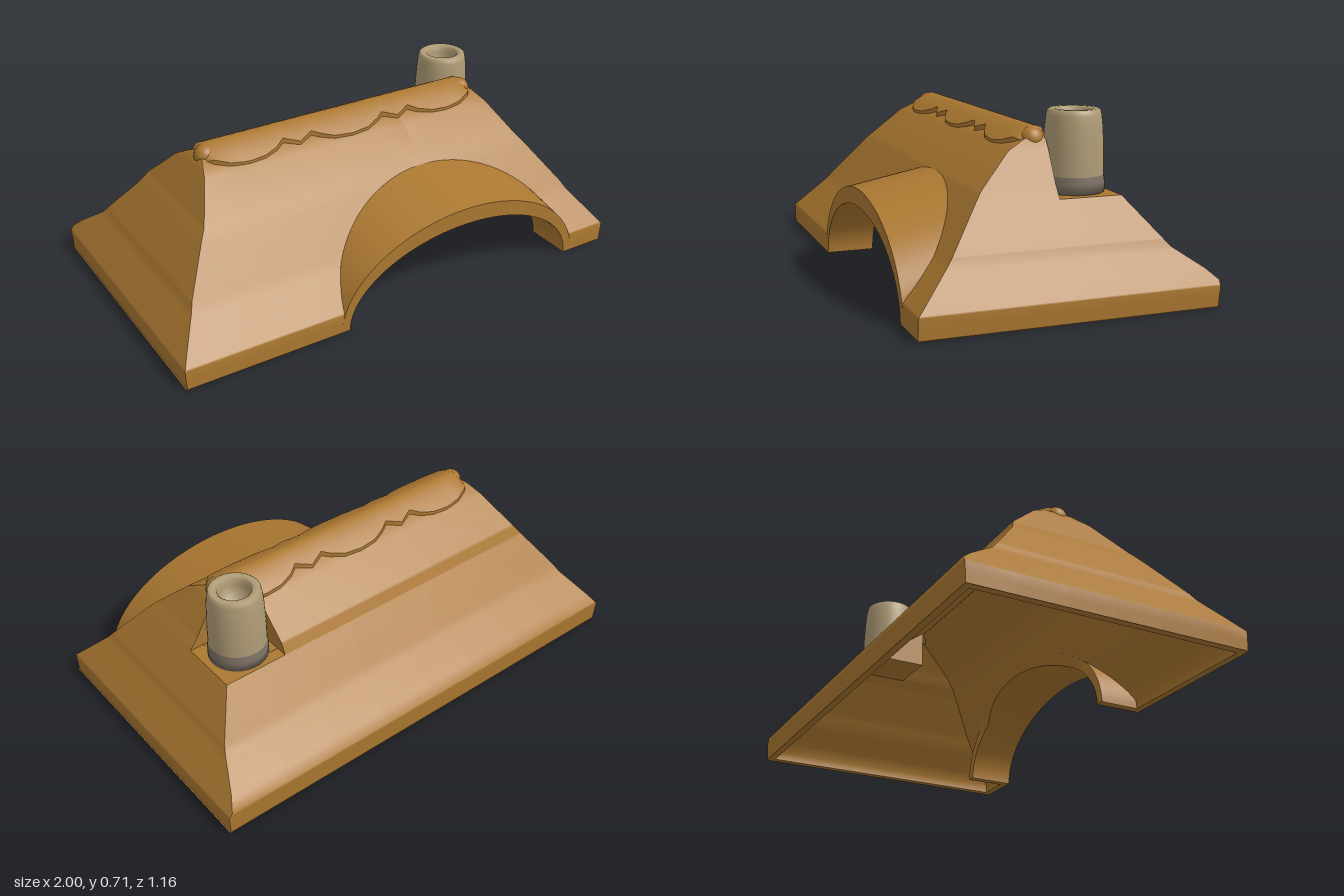
import * as THREE from 'three';

// Piecewise-linear lookup in a list of [input, output]
const lerpTable = (table, t) => {
  for (let i = 1; i < table.length; i++) {
    const [a, va] = table[i - 1], [b, vb] = table[i];
    if (t <= b) return va + (vb - va) * Math.max(0, (t - a) / (b - a));
  }
  return table[table.length - 1][1];
};

// Smooth grid surface from a rule (row, column) -> [x, y, z]
function surface(rows, cols, rule) {
  const pos = [], index = [];
  for (let r = 0; r <= rows; r++)
    for (let c = 0; c <= cols; c++) pos.push(...rule(r, c));
  for (let r = 0; r < rows; r++)
    for (let c = 0; c < cols; c++) {
      const a = r * (cols + 1) + c, b = a + cols + 1;
      index.push(a, a + 1, b, a + 1, b + 1, b);
    }
  const g = new THREE.BufferGeometry();
  g.setAttribute('position', new THREE.Float32BufferAttribute(pos, 3));
  g.setIndex(index);
  g.computeVertexNormals();
  return g;
}

// Front depth, back depth and half width of the roof at each height
const FRONT = [[0, 0.58], [0.08, 0.58], [0.22, 0.442], [0.41, 0.292], [0.44, 0.267], [0.57, 0.13],
  [0.605, 0.06], [0.625, 0]];
const BACK = [[0, 0.578], [0.1, 0.583], [0.14, 0.54], [0.22, 0.425], [0.25, 0.4], [0.4, 0.28],
  [0.45, 0.255], [0.57, 0.125], [0.605, 0.06], [0.625, 0]];
const WIDTH = [[0, 0.995], [0.08, 1], [0.13, 0.965], [0.22, 0.9], [0.25, 0.885], [0.41, 0.775],
  [0.45, 0.745], [0.57, 0.675], [0.605, 0.65], [0.625, 0.62]];
const ARCH_X = 0.245, SHELL = 0.03;
const outer = {
  top: 0.625, a: 0.58, h: 0.44,
  z: y => lerpTable(FRONT, y), back: y => lerpTable(BACK, y), x: y => lerpTable(WIDTH, y),
};
const inner = {
  top: 0.585, a: 0.58, h: 0.37,
  z: y => Math.max(0, outer.z(y + 0.04) - SHELL),
  back: y => Math.max(0, outer.back(y + 0.04) - SHELL),
  x: y => outer.x(y + 0.04) - SHELL,
};

// Square notch in the left back hip where the chimney stands
const NOTCH = { y: 0.4, x: 0.51, z: -0.03 };

// Half width of the scalloped ridge cap along its length
const SCALLOP = [[0, 0.12], [0.08, 0.113], [0.14, 0.09], [0.17, 0.072], [0.235, 0.1], [0.3, 0.072],
  [0.34, 0.097], [0.4, 0.115], [0.47, 0.12], [0.505, 0.117], [0.51, 0.116], [0.55, 0.11], [0.61, 0.085],
  [0.64, 0.055], [0.655, 0.04]];

export function createModel() {
  const model = new THREE.Group();
  const material = (name, color) => {
    const m = new THREE.MeshStandardMaterial({ color, side: THREE.DoubleSide });
    m.name = name;
    return m;
  };
  const tile = material('brown roof', 0xab7831);
  const clay = material('beige chimney', 0xb09c76);
  const stone = material('grey chimney base', 0x7d7164);
  const group = name => {
    const g = new THREE.Group();
    g.name = name;
    model.add(g);
    return g;
  };
  const add = (name, geometry, mat = tile, parent = model) => {
    const mesh = new THREE.Mesh(geometry, mat);
    mesh.name = name;
    parent.add(mesh);
    return mesh;
  };

  // Roof shell: outer skin and hollow underside, cut round the arch and the notch
  const roofShell = (name, s) => {
    const shell = group(name);
    const heights = [...FRONT, ...BACK].map(p => p[0]).filter(y => y < s.top);
    heights.push(s.top, NOTCH.y, NOTCH.y + 0.0005);
    for (let i = 1; i <= 16; i++) heights.push(s.h * Math.sin(i / 16 * Math.PI / 2));
    const ys = [...new Set(heights)].sort((a, b) => a - b);
    const rows = ys.length - 1;
    for (const side of [-1, 1]) {
      add(side < 0 ? 'rightFrontSlope' : 'leftFrontSlope', surface(rows, 6, (r, c) => {
        const y = ys[r], t = c / 6;
        const edge = ARCH_X + side * s.a * Math.sqrt(Math.max(0, 1 - (y / s.h) ** 2));
        const hip = side * s.x(y);
        return [side < 0 ? hip + (edge - hip) * t : edge + (hip - edge) * t, y, s.z(y)];
      }), tile, shell);
      add(side < 0 ? 'rightHip' : 'leftHip', surface(rows, 6, (r, c) => {
        const y = ys[r], z = s.z(y);
        const end = side > 0 && y > NOTCH.y ? Math.max(NOTCH.z, -s.back(y)) : -s.back(y);
        const t = side > 0 ? c / 6 : 1 - c / 6;
        return [side * s.x(y), y, z + (end - z) * t];
      }), tile, shell);
    }
    add('backSlope', surface(rows, 8, (r, c) => {
      const y = ys[r], x = s.x(y);
      const start = y > NOTCH.y ? NOTCH.x : x;
      return [start + (-x - start) * c / 8, y, -s.back(y)];
    }), tile, shell);
  };
  roofShell('roofSkin', outer);
  roofShell('roofUnderside', inner);

  // Floor and two walls of the chimney notch
  const notch = group('chimneyNotch');
  const nx = outer.x(NOTCH.y), nz = -outer.back(NOTCH.y);
  const level = r => NOTCH.y + (outer.top - NOTCH.y) * r / 12;
  add('notchFloor', surface(1, 1, (r, c) => [c ? nx : NOTCH.x, NOTCH.y, r ? nz : NOTCH.z]), tile, notch);
  add('notchFrontWall', surface(12, 1, (r, c) =>
    [c ? NOTCH.x : outer.x(level(r)), level(r), Math.max(NOTCH.z, -outer.back(level(r)))]), tile, notch);
  add('notchSideWall', surface(12, 1, (r, c) =>
    [NOTCH.x, level(r), c ? -outer.back(level(r)) : Math.max(NOTCH.z, -outer.back(level(r)))]), tile, notch);

  // Flat rim under the eaves, open at the arch
  const x0 = inner.x(0), z0 = inner.z(0), l = ARCH_X - 0.58, r = ARCH_X + 0.58;
  const rim = new THREE.Shape([[l, 0.58], [-1, 0.58], [-1, -0.58], [1, -0.58], [1, 0.58], [r, 0.58],
    [r, z0], [x0, z0], [x0, -z0], [-x0, -z0], [-x0, z0], [l, z0]].map(p => new THREE.Vector2(...p)));
  add('eavesRim', new THREE.ShapeGeometry(rim).rotateX(Math.PI / 2));

  // Arched dormer: sloping top, front face and a tunnel reaching into the hollow
  const N = 48;
  const dormer = group('archedDormer');
  const arch = (i, a, h, depth) => {
    const t = Math.PI * (1 - i / N), y = h * Math.sin(t);
    return [ARCH_X + a * Math.cos(t), y, depth(y)];
  };
  const frontZ = () => 0.58;
  const tunnelZ = y => Math.min(0.38, inner.z(y));
  const loft = (name, from, to) =>
    add(name, surface(1, N, (j, i) => arch(i, ...(j ? to : from))), tile, dormer);
  loft('dormerTop', [0.58, 0.38, frontZ], [0.58, 0.44, outer.z]);
  loft('dormerFace', [0.545, 0.31, frontZ], [0.58, 0.38, frontZ]);
  loft('tunnelInside', [0.545, 0.31, tunnelZ], [0.545, 0.31, frontZ]);
  loft('tunnelBackEdge', [0.58, 0.37, tunnelZ], [0.545, 0.31, tunnelZ]);
  loft('tunnelOutside', [0.58, 0.37, inner.z], [0.58, 0.37, tunnelZ]);
  for (const side of [-1, 1])
    add('tunnelFoot', surface(1, 1, (j, i) =>
      [ARCH_X + side * (i ? 0.58 : 0.545), 0, j ? 0.58 : 0.38]), tile, dormer);

  // Scalloped ridge cap: rounded top, edge skirts and rounded ends
  const xs = [...SCALLOP.slice(1).map(p => -p[0]).reverse(), ...SCALLOP.map(p => p[0])];
  const capPoint = (x, v) => {
    const z = Math.max(v * lerpTable(SCALLOP, Math.abs(x)), x > 0.507 ? NOTCH.z : -1);
    const droop = 0.06 * Math.max(0, (Math.abs(x) - 0.61) / 0.045) ** 1.5;
    return [x, 0.652 - 0.065 * Math.pow(Math.abs(z) / 0.12, 1.4) - droop, z];
  };
  const cap = group('ridgeCap');
  add('capTop', surface(12, xs.length - 1, (j, i) => capPoint(xs[i], 1 - j / 6)), tile, cap);
  for (const side of [-1, 1]) {
    add('capEdge', surface(1, xs.length - 1, (j, i) => {
      const [x, y, z] = capPoint(side * xs[i], side);
      return [x, y - 0.03 * (1 - j), z];
    }), tile, cap);
    const knob = add('capEnd', new THREE.SphereGeometry(0.046, 24, 16), tile, cap);
    knob.position.set(side * 0.613, 0.603, 0.012);
  }

  // Round hollow chimney on a grey base
  const lathe = points => new THREE.LatheGeometry(points.map(p => new THREE.Vector2(...p)), 40);
  const chimney = group('chimney');
  chimney.position.set(0.638, 0, -0.149);
  add('chimneyBase', lathe([[0, 0.402], [0.119, 0.402], [0.119, 0.44], [0.115, 0.467]]), stone, chimney);
  add('chimneyPot', lathe([[0.115, 0.467], [0.114, 0.56], [0.11, 0.64], [0.105, 0.69], [0.1, 0.708],
    [0.093, 0.713], [0.075, 0.713], [0.066, 0.705], [0.063, 0.68], [0.06, 0.6], [0, 0.6]]), clay, chimney);

  return model;
}
